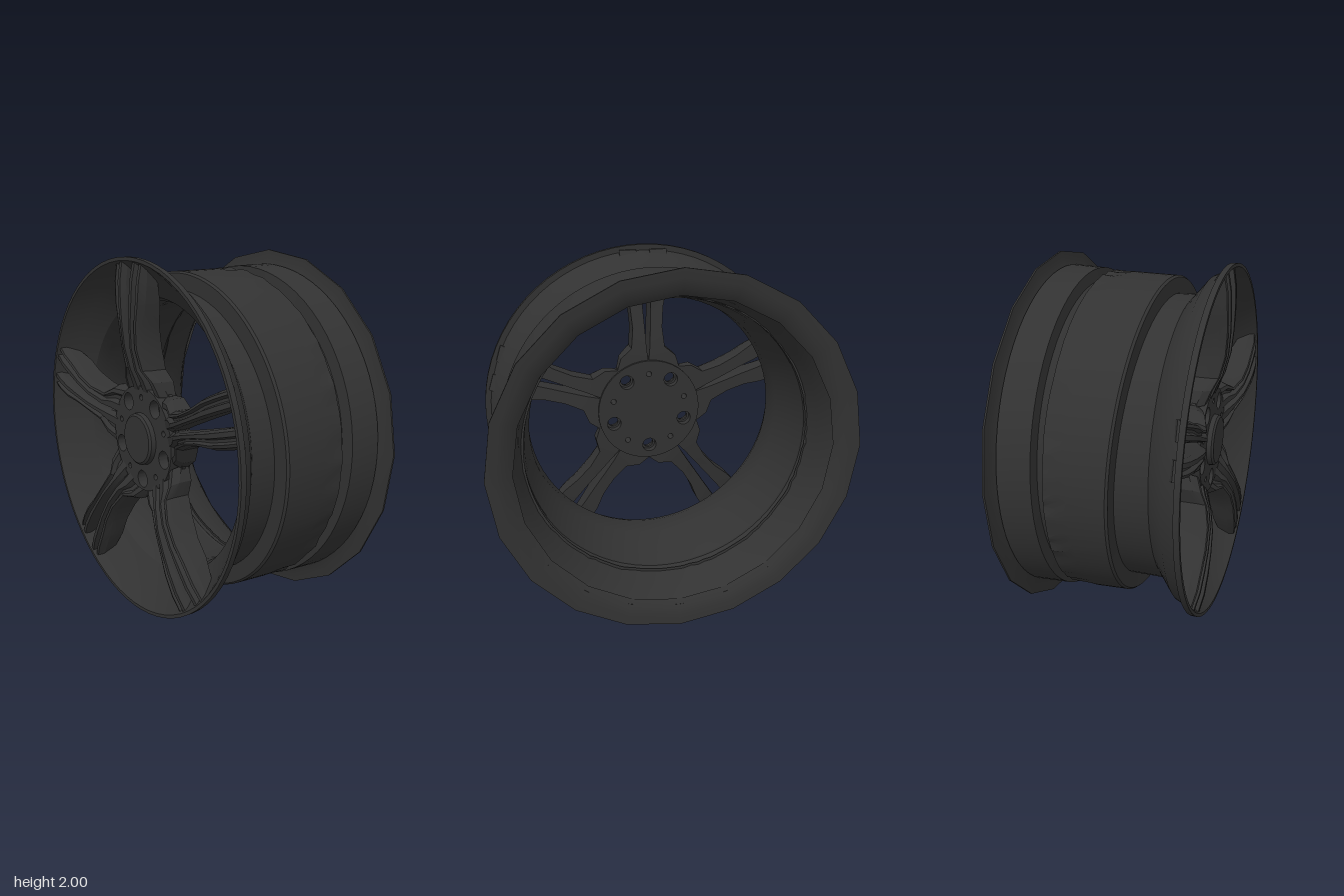
import * as THREE from 'three';
import { toCreasedNormals } from 'three/addons/utils/BufferGeometryUtils.js';

// Local frame: +z is the outer (spoked) side of the wheel; the group is turned so it faces -x.
const metal = new THREE.MeshStandardMaterial({ color: 0x323232, side: THREE.DoubleSide });
metal.name = 'dark metal';

function add(parent, name, geometry, crease = 0.5) {
  const mesh = new THREE.Mesh(toCreasedNormals(geometry, crease), metal);
  mesh.name = name;
  parent.add(mesh);
  return mesh;
}

// Profile points are [x along the axle, radius]
function spin(profile, sides) {
  const pts = profile.map(([x, r]) => new THREE.Vector2(r, x));
  return new THREE.LatheGeometry(pts, sides).rotateX(-Math.PI / 2);
}

// Skin a surface over rows of points; close joins the last point of a row to the first
function skin(rows, close, caps) {
  const n = rows[0].length, index = [];
  for (let i = 0; i < rows.length - 1; i++) {
    for (let j = 0; j < (close ? n : n - 1); j++) {
      const a = i * n + j, b = i * n + (j + 1) % n;
      index.push(a, b, a + n, b, b + n, a + n);
    }
  }
  if (caps) {
    const last = (rows.length - 1) * n;
    for (let j = 1; j < n - 1; j++) index.push(0, j + 1, j, last, last + j, last + j + 1);
  }
  const g = new THREE.BufferGeometry();
  g.setAttribute('position', new THREE.Float32BufferAttribute(rows.flat(2), 3));
  g.setIndex(index);
  g.computeVertexNormals();
  return g;
}

// One leg of a twin spoke pointing up: [radius, inner edge, outer edge, front, back]
const stations = [
  [0.25, 0, 0.19, 0.395, 0.30],
  [0.33, 0.004, 0.165, 0.425, 0.30],
  [0.385, 0.01, 0.10, 0.45, 0.305],
  [0.5, 0.017, 0.088, 0.478, 0.32],
  [0.62, 0.024, 0.098, 0.487, 0.34],
  [0.73, 0.03, 0.125, 0.488, 0.35],
  [0.84, 0.035, 0.135, 0.484, 0.37],
  [0.935, 0.04, 0.14, 0.468, 0.43],
];
// Cross-section: [fraction across, drop below the front], with two ridges and a groove
const ridges = [[0, 0.03], [0.12, 0], [0.36, 0], [0.46, 0.03], [0.6, 0.03], [0.7, 0.005], [0.85, 0.01], [1, 0.05]];

function legGeometry(side) {
  const rows = stations.map(([r, inner, outer, front, back]) => {
    const at = (t, z) => [side * (inner + (outer - inner) * t), r, z];
    return [at(0, back), ...ridges.map(([t, d]) => at(t, Math.max(front - d, back + 0.005))), at(1, back)];
  });
  return skin(rows, true, true);
}

// Hub plate with five bolt holes and five small pin holes
function hubGeometry(radius, boltRadius, depth) {
  const shape = new THREE.Shape().absarc(0, 0, radius, 0, Math.PI * 2);
  const hole = (angle, r) => shape.holes.push(new THREE.Path().absarc(
    0.228 * Math.sin(angle), 0.228 * Math.cos(angle), r, 0, Math.PI * 2, true));
  for (let i = 0; i < 5; i++) {
    hole(i * Math.PI * 0.4 + Math.PI / 5, boltRadius);
    hole(i * Math.PI * 0.4, 0.016);
  }
  return new THREE.ExtrudeGeometry(shape, { depth, bevelEnabled: false, curveSegments: 20 });
}

// Band round the barrel: slanted outer edge, ragged rippled inner edge
function bandGeometry() {
  const rows = [], count = 120;
  let seed = 7;
  const rand = () => (seed = (seed * 16807) % 2147483647) / 2147483647;
  const rough = Array.from({ length: count }, rand);
  for (let i = 0; i <= count; i++) {
    const a = (i / count) * Math.PI * 2, s = Math.sin(a), c = Math.cos(a);
    const k = rough[i % count];
    const left = -0.12 - 0.04 * c - 0.015 * s;
    const right = 0.222 - 0.015 * c + 0.014 * (k - 0.5);
    const profile = [
      [left, 0.76], [left, 0.875], [left + 0.012, 0.885], [0.1, 0.892],
      [0.15, 0.893 - 0.006 * k], [right, 0.9 - 0.022 * k], [right + 0.006, 0.86], [right, 0.79],
    ];
    rows.push(profile.map(([x, r]) => [r * s, r * c, -x]));
  }
  return skin(rows, false, false);
}

export function createModel() {
  const model = new THREE.Group();
  model.name = 'wheelRim';
  const wheel = new THREE.Group();
  wheel.name = 'wheel';
  wheel.position.y = 1;
  wheel.rotation.y = -Math.PI / 2;
  model.add(wheel);

  const round = new THREE.Group();
  round.name = 'roundParts';
  round.position.y = 0.008;
  wheel.add(round);

  // Barrel: outer lip, drop centre, rear shoulder, then back along the inside
  add(round, 'barrel', spin([
    [-0.476, 0.945], [-0.476, 0.963], [-0.446, 0.963], [-0.446, 0.93], [-0.37, 0.9],
    [-0.275, 0.79], [0.2, 0.79], [0.225, 0.81], [0.27, 0.84], [0.275, 0.905],
    [0.45, 0.913], [0.458, 0.89], [0.42, 0.86], [0.3, 0.825], [0.15, 0.78],
    [0.02, 0.762], [-0.1, 0.735], [-0.24, 0.73], [-0.3, 0.755], [-0.38, 0.86],
    [-0.45, 0.925], [-0.476, 0.945],
  ], 72));
  add(round, 'barrelBand', bandGeometry());

  // Coarse rear flange
  add(wheel, 'rearFlange', spin([
    [0.44, 0.88], [0.455, 0.91], [0.468, 0.955], [0.472, 1], [0.482, 1],
    [0.478, 0.95], [0.468, 0.9], [0.44, 0.86],
  ], 20));

  // Hub: back pad, front plate with narrower bolt seats, and centre cap
  add(round, 'hubPad', hubGeometry(0.31, 0.042, 0.04)).position.z = 0.285;
  add(round, 'hubPlate', hubGeometry(0.325, 0.03, 0.02)).position.z = 0.325;
  add(round, 'hubFace', hubGeometry(0.29, 0.048, 0.055)).position.z = 0.345;
  add(round, 'centreCap', spin([
    [-0.39, 0.145], [-0.425, 0.14], [-0.435, 0.128], [-0.435, 0.001],
  ], 40));

  // Five twin spokes, trimmed at the root so the bolt holes stay clear
  for (let i = 0; i < 5; i++) {
    const spoke = new THREE.Group();
    spoke.name = 'twinSpoke';
    spoke.rotation.z = i * Math.PI * 0.4;
    round.add(spoke);
    for (const side of [1, -1]) add(spoke, 'spokeLeg', legGeometry(side), 0.35);
  }
  return model;
}
